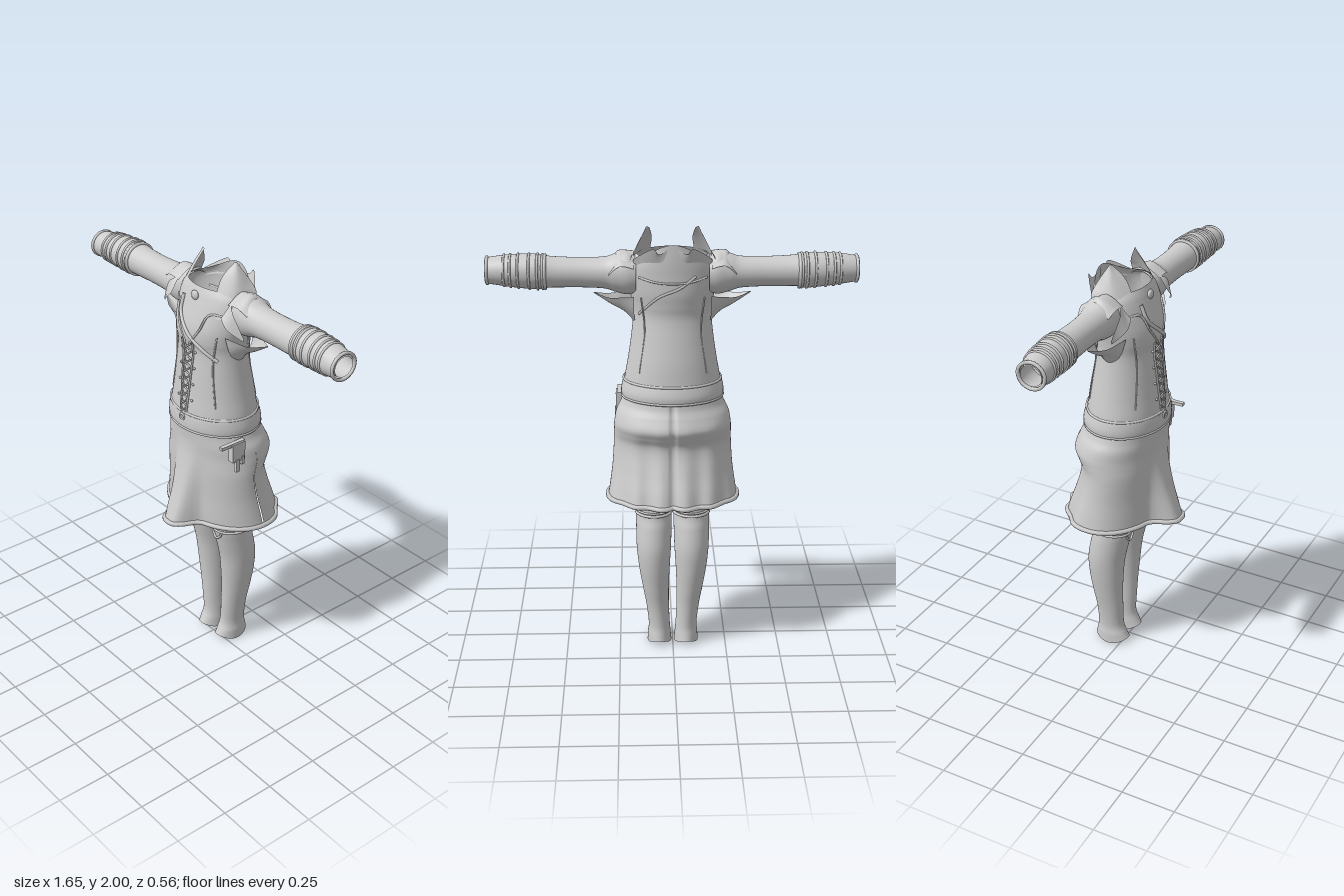
import * as THREE from 'three';
import { ParametricGeometry } from 'three/addons/geometries/ParametricGeometry.js';

const V = (x, y, z) => new THREE.Vector3(x, y, z);

// smooth interpolation of a table of rows, v in 0..1
function sample(rows, v) {
  const n = rows.length - 1, f = Math.min(Math.max(v, 0), 1) * n, i = Math.min(Math.floor(f), n - 1), t = f - i;
  const p = rows[Math.max(i - 1, 0)], q = rows[i], r = rows[i + 1], s = rows[Math.min(i + 2, n)];
  return q.map((_, k) => q[k] + 0.5 * t * (r[k] - p[k]
    + t * (2 * p[k] - 5 * q[k] + 4 * r[k] - s[k] + t * (3 * (q[k] - r[k]) + s[k] - p[k]))));
}

// tube of elliptical sections; each row is [along, aMin, aMax, bMin, bMax]
function loft(rows, place, slices = 48, stacks = 40) {
  return new ParametricGeometry((u, v, out) => {
    const [t, a0, a1, b0, b1] = sample(rows, v), w = -u * Math.PI * 2;
    const c = Math.cos(w), s = Math.sin(w);
    place(out, t, (a0 + a1) / 2 + (a1 - a0) / 2 * c, (b0 + b1) / 2 + (b1 - b0) / 2 * s, c, s, v);
  }, slices, stacks);
}
const upright = (out, t, a, b) => out.set(a, t, b);

// curved sheet through several edge lines
function sheet(edges) {
  return new ParametricGeometry((u, v, out) => {
    out.set(...sample(edges.map(e => sample(e, u)), v));
  }, 14, 14);
}

const tube = (pts, r, closed = false, n = 40) =>
  new THREE.TubeGeometry(new THREE.CatmullRomCurve3(pts, closed), n, r, 6, closed);

// body sections: [y, xMin, xMax, zBack, zFront]
const torsoRows = [
  [1.23, .222, -.185, .172], [1.31, .216, -.176, .17], [1.4, .2, -.165, .16], [1.5, .185, -.147, .15],
  [1.6, .175, -.13, .14], [1.66, .18, -.135, .148], [1.72, .19, -.142, .143], [1.8, .195, -.142, .118],
  [1.85, .185, -.142, .1], [1.88, .155, -.138, .085],
].map(([y, w, b, f]) => [y, -w, w, b, f]);

const skirtRows = [
  [.755, .297, -.268, .165], [.82, .287, -.25, .165], [.9, .276, -.222, .163], [.98, .27, -.198, .163],
  [1.03, .268, -.195, .163], [1.07, .267, -.215, .163], [1.11, .265, -.232, .163], [1.16, .255, -.212, .165],
  [1.2, .235, -.192, .167], [1.24, .222, -.185, .17],
].map(([y, w, b, f]) => [y, -w, w, b, f]);

// point on the torso surface at x, y
function onTorso(x, y, side = 1, lift = 0.003) {
  let i = 0;
  while (i < torsoRows.length - 2 && torsoRows[i + 1][0] < y) i++;
  const p = torsoRows[i], q = torsoRows[i + 1], t = (y - p[0]) / (q[0] - p[0]);
  const [, , w, b, f] = p.map((a, k) => a + (q[k] - a) * t);
  const h = Math.sqrt(Math.max(0, 1 - (x / w) ** 2));
  return V(x, y, (f + b) / 2 + side * ((f - b) / 2 * h + lift));
}

// skirt folds: a pointed front pleat and a rippled back
function skirtFold(out, t, a, b, c, s) {
  const drop = Math.min(Math.max((1.17 - t) / 0.41, 0), 1);
  if (s > 0) b += 0.105 * drop ** 1.4 * Math.exp(-((a / 0.075) ** 4));
  else b += 0.008 * drop * Math.cos(a * 55) - 0.012 * Math.exp(-((a / 0.012) ** 2)) * s * s * -1;
  out.set(a, t, b);
}

export function createModel() {
  const model = new THREE.Group();
  const grey = new THREE.MeshStandardMaterial({ color: 0xcccccc, side: THREE.DoubleSide });
  grey.name = 'plain grey';
  const add = (name, geometry, parent = model) => {
    const m = new THREE.Mesh(geometry, grey);
    m.name = name;
    parent.add(m);
    return m;
  };

  // bodice with an open neck, higher at the back
  add('bodice', loft(torsoRows, (out, t, a, b, c, s, v) => {
    const rise = s < 0 ? 0.06 * s ** 4 : 0.01 * s;
    out.set(a, t + rise * Math.max(0, (v - 0.85) / 0.15), b);
  }, 64, 60));

  // belt with rolled edges
  const grow = (y, d) => {
    const [, , w, b, f] = torsoRows[y > 1.27 ? 1 : 0];
    return [y, -w - d, w + d, b - d, f + d];
  };
  add('belt', loft([grow(1.225, 0), grow(1.23, .008), grow(1.26, .01), grow(1.3, .008), grow(1.315, 0)], upright, 64, 20));
  const ringAt = (row, r, place = upright) => {
    const pts = [];
    for (let i = 0; i < 64; i++) {
      const w = i / 64 * Math.PI * 2, [t, a0, a1, b0, b1] = row, p = V(0, 0, 0);
      place(p, t, (a0 + a1) / 2 + (a1 - a0) / 2 * Math.cos(w), (b0 + b1) / 2 + (b1 - b0) / 2 * Math.sin(w), Math.cos(w), Math.sin(w));
      pts.push(p);
    }
    return tube(pts, r, true, 128);
  };
  add('beltLowerEdge', ringAt(grow(1.232, .006), .007));
  add('beltUpperEdge', ringAt(grow(1.308, .004), .006));

  // skirt and hem
  add('skirt', loft(skirtRows, skirtFold, 120, 50));
  add('skirtHem', ringAt(skirtRows[0].map((n, i) => i ? n : .762), .012, skirtFold));

  // front lacing
  const lacing = new THREE.Group();
  lacing.name = 'lacing';
  model.add(lacing);
  for (const s of [-1, 1]) {
    const edge = [];
    for (let y = 1.29; y < 1.67; y += .06) edge.push(onTorso(s * (.018 + (y - 1.29) * .05), y));
    add('laceEdge', tube(edge, .005), lacing);
    for (let i = 0; i < 9; i++) {
      const y = 1.3 + i * .038;
      add('lace', tube([onTorso(-s * .024, y), onTorso(0, y + .018, 1, .009), onTorso(s * .024, y + .036)], .004, false, 8), lacing);
      if (i % 2 === 0) {
        const stud = add('eyelet', new THREE.SphereGeometry(.006, 8, 6), lacing);
        stud.position.copy(onTorso(s * .045, y));
      }
    }
    // bodice seams and neckline
    for (const side of [-1, 1]) {
      add('bodiceSeam', tube([onTorso(s * .14, 1.7, side, 0), onTorso(s * .125, 1.55, side, 0), onTorso(s * .15, 1.36, side, 0)], .004));
    }
    add('neckline', tube([onTorso(s * .17, 1.79), onTorso(s * .1, 1.79), onTorso(s * .07, 1.72), onTorso(s * .015, 1.64)], .005));
  }
  add('bow', new THREE.TorusGeometry(.014, .005, 6, 16), lacing).position.copy(onTorso(0, 1.285, 1, .01));

  // sash across chest and back
  add('sashFront', tube([[-.08, 1.83], [-.07, 1.76], [0, 1.69], [.08, 1.63], [.14, 1.58]].map(p => onTorso(...p)), .009));
  add('sashBack', tube([[-.1, 1.8], [-.03, 1.75], [.06, 1.71], [.15, 1.62]].map(p => onTorso(...p, -1)), .006));
  add('backYoke', tube([[-.15, 1.79], [-.08, 1.775], [0, 1.77], [.08, 1.775], [.15, 1.79]].map(p => onTorso(...p, -1)), .005));

  // throat jewel
  const jewel = add('jewel', new THREE.SphereGeometry(.022, 16, 12));
  jewel.scale.z = .5;
  jewel.position.copy(onTorso(0, 1.85));

  for (const s of [1, -1]) {
    const half = new THREE.Group();
    half.name = s > 0 ? 'leftSide' : 'rightSide';
    model.add(half);
    const flip = edges => edges.map(e => e.map(([x, y, z]) => [s * x, y, z]));

    // sleeve: [x, zBack, zFront, yBottom, yTop]
    const sleeve = [
      [.16, -.105, .045, 1.71, 1.87], [.2, -.108, .055, 1.7, 1.89], [.25, -.1, .055, 1.71, 1.88], [.3, -.09, .05, 1.725, 1.865],
      [.4, -.083, .048, 1.73, 1.862], [.5, -.084, .052, 1.73, 1.865], [.56, -.088, .056, 1.73, 1.87],
    ];
    const along = (out, t, a, b) => out.set(s * t, b, a);
    add('sleeve', loft(sleeve, along), half);

    // cuff with open end and wrapped ridges
    const cuff = [[.56, -.09, .058, 1.726, 1.872], [.6, -.092, .062, 1.722, 1.878], [.7, -.082, .066, 1.73, 1.875],
      [.76, -.07, .068, 1.737, 1.868], [.82, -.056, .066, 1.745, 1.858]];
    add('cuff', loft(cuff, along), half);
    add('cuffLining', loft(cuff.slice(2).map(([x, a, b, c, d]) => [x, a + .012, b - .012, c + .012, d - .012]), along), half);
    [0, .1, .22, .33, .44, .54, .66, .97].forEach((v, i) =>
      add('cuffRidge', ringAt(sample(cuff, v), i % 7 ? .006 : .008, along), half));

    // standing collar point
    add('collarPoint', sheet(flip([
      [[.1, 1.78, .105], [.1, 1.86, .075], [.09, 1.94, .03], [.1, 1.995, -.03]],
      [[.17, 1.78, .06], [.165, 1.86, .02], [.145, 1.93, -.01], [.11, 2, -.03]],
      [[.195, 1.79, -.06], [.185, 1.87, -.085], [.155, 1.92, -.075], [.115, 2, -.033]],
    ])), half);
    // ragged back collar
    add('backCollar', sheet(flip([
      [[.01, 1.87, -.138], [.06, 1.86, -.135], [.12, 1.85, -.11], [.18, 1.83, -.07]],
      [[.01, 1.93, -.135], [.06, 1.9, -.145], [.09, 1.925, -.15], [.17, 1.87, -.09]],
    ])), half);

    // shoulder flaps
    add('frontShoulderFlap', sheet(flip([
      [[.18, 1.86, .05], [.22, 1.83, .075], [.275, 1.73, .06]],
      [[.17, 1.8, .1], [.21, 1.76, .1], [.27, 1.715, .06]],
    ])), half);
    add('topShoulderFlap', sheet(flip([
      [[.17, 1.85, .06], [.23, 1.855, .06], [.28, 1.83, .05]],
      [[.17, 1.89, -.02], [.23, 1.895, -.02], [.25, 1.88, -.02]],
      [[.17, 1.83, -.115], [.23, 1.84, -.11], [.28, 1.8, -.1]],
    ])), half);

    // pointed wing beneath the arm
    add('armpitWing', sheet(flip([
      [[.17, 1.7, .075], [.22, 1.695, .06], [.28, 1.688, .035], [.35, 1.705, -.01]],
      [[.17, 1.62, .05], [.22, 1.645, .035], [.27, 1.66, .015], [.35, 1.703, -.01]],
      [[.165, 1.56, -.005], [.21, 1.615, -.01], [.27, 1.65, -.01], [.35, 1.702, -.01]],
      [[.17, 1.62, -.065], [.22, 1.645, -.05], [.27, 1.66, -.035], [.35, 1.703, -.01]],
      [[.17, 1.7, -.09], [.22, 1.695, -.075], [.28, 1.688, -.05], [.35, 1.705, -.01]],
    ])), half);

    // stocking: [y, xMin, xMax, zBack, zFront], open and arched at the ankle
    const leg = [
      [.015, .006, .12, -.142, .03], [.05, .01, .118, -.136, .018], [.1, .014, .114, -.128, 0], [.2, .018, .125, -.132, 0],
      [.3, .018, .142, -.147, .002], [.4, .014, .158, -.16, .008], [.5, .008, .168, -.163, .018], [.6, .005, .17, -.145, .04],
      [.66, .004, .17, -.128, .053], [.75, .004, .17, -.12, .065], [.8, .004, .17, -.12, .068],
    ].map(r => [r[0], ...(s > 0 ? [r[1], r[2]] : [-r[2], -r[1]]), r[3], r[4]]);
    add('stocking', loft(leg, (out, t, a, b, c, q, v) =>
      out.set(a, t + (.025 * q * q - .01) * Math.max(0, 1 - v * 9), b), 40, 60), half);
    add('garter', ringAt(leg[8].map((n, i) => i ? n : .668), .007), half);
    add('stockingTop', ringAt(leg[8].map((n, i) => i ? n : .682), .005), half);
    add('garterTab', tube([[.05, .66], [.06, .64], [.082, .625], [.105, .64], [.115, .66]]
      .map(([x, y]) => V(s * x, y, .052 - Math.abs(x - .085) * .15)), .006), half);
  }

  // hip pouch hanging from the belt
  const pouch = new THREE.Group();
  pouch.name = 'hipPouch';
  model.add(pouch);
  for (const [w, h, d, x, y, z] of [[.03, .09, .07, .243, 1.175, .065], [.02, .015, .13, .24, 1.215, .09],
    [.016, .06, .02, .256, 1.11, .075], [.014, .04, .015, .256, 1.13, .045]]) {
    add('pouchPiece', new THREE.BoxGeometry(w, h, d), pouch).position.set(x, y, z);
  }
  return model;
}
